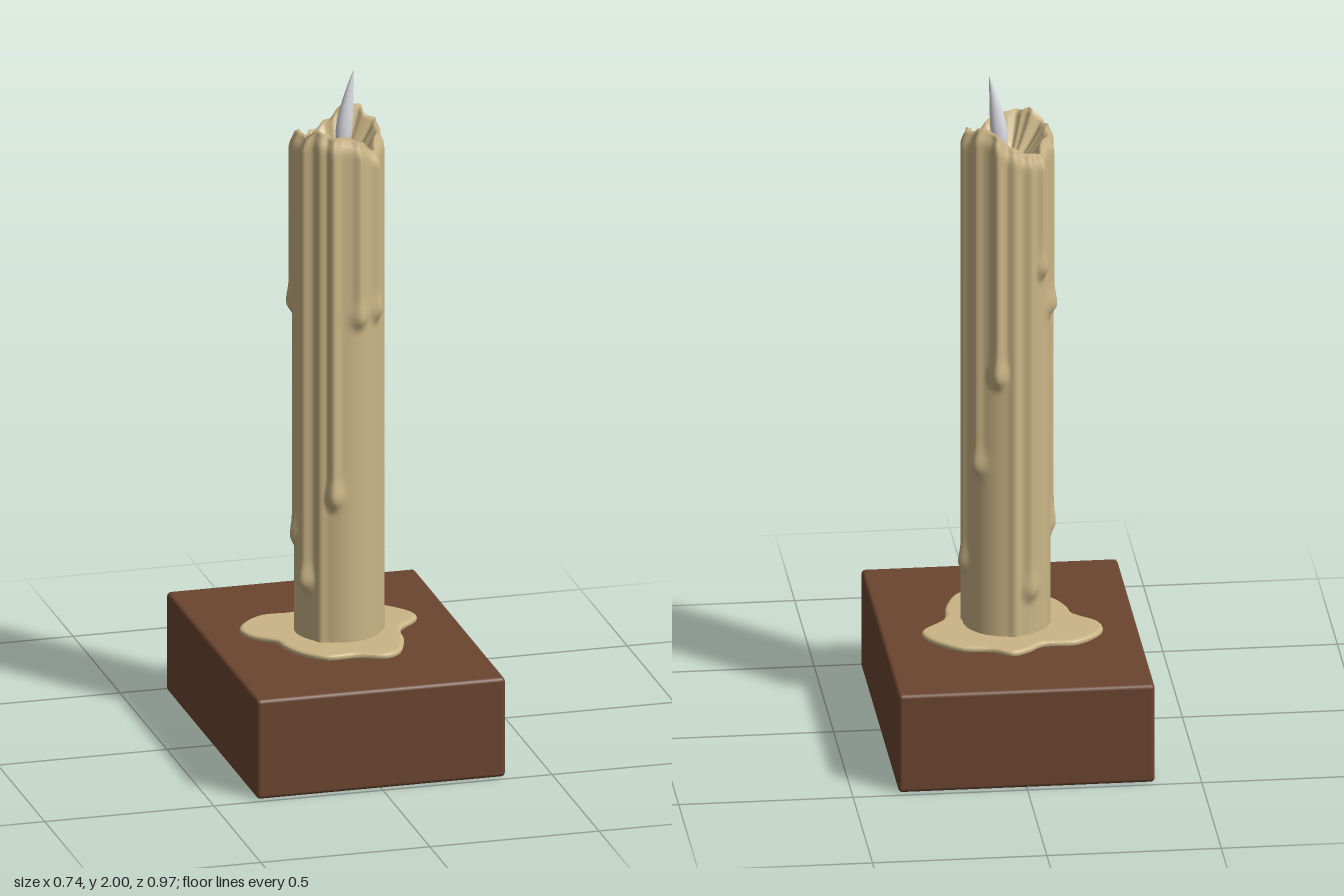
import * as THREE from 'three';
import { RoundedBoxGeometry } from 'three/addons/geometries/RoundedBoxGeometry.js';

const wood = new THREE.MeshStandardMaterial({ name: 'brown wood', color: 0x6b4530 });
const wax = new THREE.MeshStandardMaterial({ name: 'cream wax', color: 0xcbb586 });
const white = new THREE.MeshStandardMaterial({ name: 'pale flame', color: 0xdcdce4 });
const black = new THREE.MeshStandardMaterial({ name: 'charred wick', color: 0x1c1816 });

const { smoothstep, lerp } = THREE.MathUtils;
const RAD = Math.PI / 180, BASE_TOP = 0.3;

// Wax runs: angle in degrees (0 = front, 90 = +x), height of the lower end, thickness
const DRIPS = [
  [-20, 0.74, 0.014], [14, 1.28, 0.013], [45, 1.29, 0.014], [75, 0.3, 0.008],
  [104, 0.5, 0.014], [133, 0.82, 0.012], [163, 1.1, 0.014], [185, 0.3, 0.008],
  [207, 0.44, 0.011], [226, 1.42, 0.014], [251, 1.29, 0.015], [272, 0.6, 0.011],
  [299, 0.48, 0.017], [322, 0.3, 0.008],
];

// Rim heights at every 22.5 degrees, from the front towards +x
const RIM = [1.84, 1.82, 1.785, 1.82, 1.84, 1.845, 1.87, 1.86, 1.82, 1.795, 1.785, 1.82, 1.84, 1.83, 1.86, 1.845];

function rimHeight(angle) {
  const p = (angle / (2 * Math.PI)) * RIM.length;
  const i = Math.floor(p);
  return lerp(RIM[i % RIM.length], RIM[(i + 1) % RIM.length], smoothstep(p - i, 0, 1));
}

function dripBulge(angle, y) {
  let bulge = 0;
  for (const [deg, end, thick] of DRIPS) {
    const da = Math.atan2(Math.sin(angle - deg * RAD), Math.cos(angle - deg * RAD));
    const drop = end > 0.31 ? Math.exp(-(((y - end - 0.02) / 0.035) ** 2)) : 0;
    const width = 0.12 + 0.06 * drop;
    const height = thick * (1 + 0.5 * drop) * smoothstep(y, end - 0.035, end + 0.01);
    bulge = Math.max(bulge, height * Math.exp(-((da / width) ** 2)));
  }
  return bulge;
}

// Closed rings of points, joined from the first ring to the last
function ringSurface(rings, segments, pointAt) {
  const pos = [], index = [];
  for (let j = 0; j <= rings; j++) {
    for (let i = 0; i < segments; i++) {
      pos.push(...pointAt((i / segments) * 2 * Math.PI, j));
      if (j === rings) continue;
      const a = j * segments + i, b = j * segments + ((i + 1) % segments);
      index.push(a, b, b + segments, a, b + segments, a + segments);
    }
  }
  const geo = new THREE.BufferGeometry();
  geo.setAttribute('position', new THREE.Float32BufferAttribute(pos, 3));
  geo.setIndex(index);
  geo.computeVertexNormals();
  return geo;
}

// Outer wall with drips, then over the rim and down into the melted hollow
function candleGeometry() {
  const wall = 130, bowl = 14;
  return ringSurface(wall + bowl, 192, (angle, j) => {
    const rim = rimHeight(angle);
    const v = Math.min(j / wall, 1);
    let y = lerp(BASE_TOP, rim, v);
    let r = 0.125 + dripBulge(angle, y);
    r -= 0.016 * smoothstep(y, rim - 0.06, rim) ** 2;
    if (j > wall) {
      const t = 1 - (j - wall) / bowl;
      r *= t;
      y = lerp(1.7, rim, t ** 1.5);
    }
    return [0.004 + r * Math.sin(angle), y, 0.003 + r * Math.cos(angle)];
  });
}

// Pointed, flattened flame leaning towards +x
function flameGeometry() {
  const rings = 20;
  return ringSurface(rings, 24, (angle, j) => {
    const t = j / rings;
    const r = Math.sin(Math.PI * t ** 0.6) ** 0.8 * (1 - 0.25 * t) || 0;
    const x = 0.022 + 0.033 * t ** 1.6;
    return [x + 0.026 * r * Math.sin(angle), 1.755 + 0.245 * t, -0.009 + 0.021 * r * Math.cos(angle)];
  });
}

// Spilled wax with a lobed outline (x, z)
function poolGeometry() {
  const outline = [
    [0.01, -0.235], [0.07, -0.2], [0.16, -0.18], [0.245, -0.09], [0.25, -0.04], [0.18, 0.04],
    [0.165, 0.13], [0.125, 0.225], [0.08, 0.25], [0, 0.222], [-0.085, 0.22], [-0.15, 0.16],
    [-0.178, 0.1], [-0.19, 0.045], [-0.255, -0.025], [-0.26, -0.09], [-0.18, -0.17],
    [-0.08, -0.175], [-0.04, -0.21],
  ].map(([x, z]) => new THREE.Vector3(x, z, 0));
  const curve = new THREE.CatmullRomCurve3(outline, true);
  const shape = new THREE.Shape(curve.getPoints(120).slice(0, -1).map((p) => new THREE.Vector2(p.x, p.y)));
  const geo = new THREE.ExtrudeGeometry(shape, {
    depth: 0.004, bevelThickness: 0.008, bevelSize: 0.012, bevelOffset: -0.012, bevelSegments: 4,
  });
  return geo.rotateX(Math.PI / 2).translate(0, BASE_TOP + 0.012, 0);
}

export function createModel() {
  const model = new THREE.Group();
  model.name = 'candle on block';
  const add = (name, geometry, material) => {
    const mesh = new THREE.Mesh(geometry, material);
    mesh.name = name;
    model.add(mesh);
    return mesh;
  };

  add('woodBase', new RoundedBoxGeometry(0.735, BASE_TOP, 0.97, 3, 0.012), wood).position.y = BASE_TOP / 2;
  add('waxPool', poolGeometry(), wax);
  add('candle', candleGeometry(), wax);

  // Short curved wick rising from the hollow into the flame
  const wickPath = new THREE.CatmullRomCurve3([
    new THREE.Vector3(0.004, 1.69, 0), new THREE.Vector3(0.008, 1.74, -0.003), new THREE.Vector3(0.022, 1.78, -0.009),
  ]);
  add('wick', new THREE.TubeGeometry(wickPath, 10, 0.006, 8), black);
  add('flame', flameGeometry(), white);
  return model;
}
